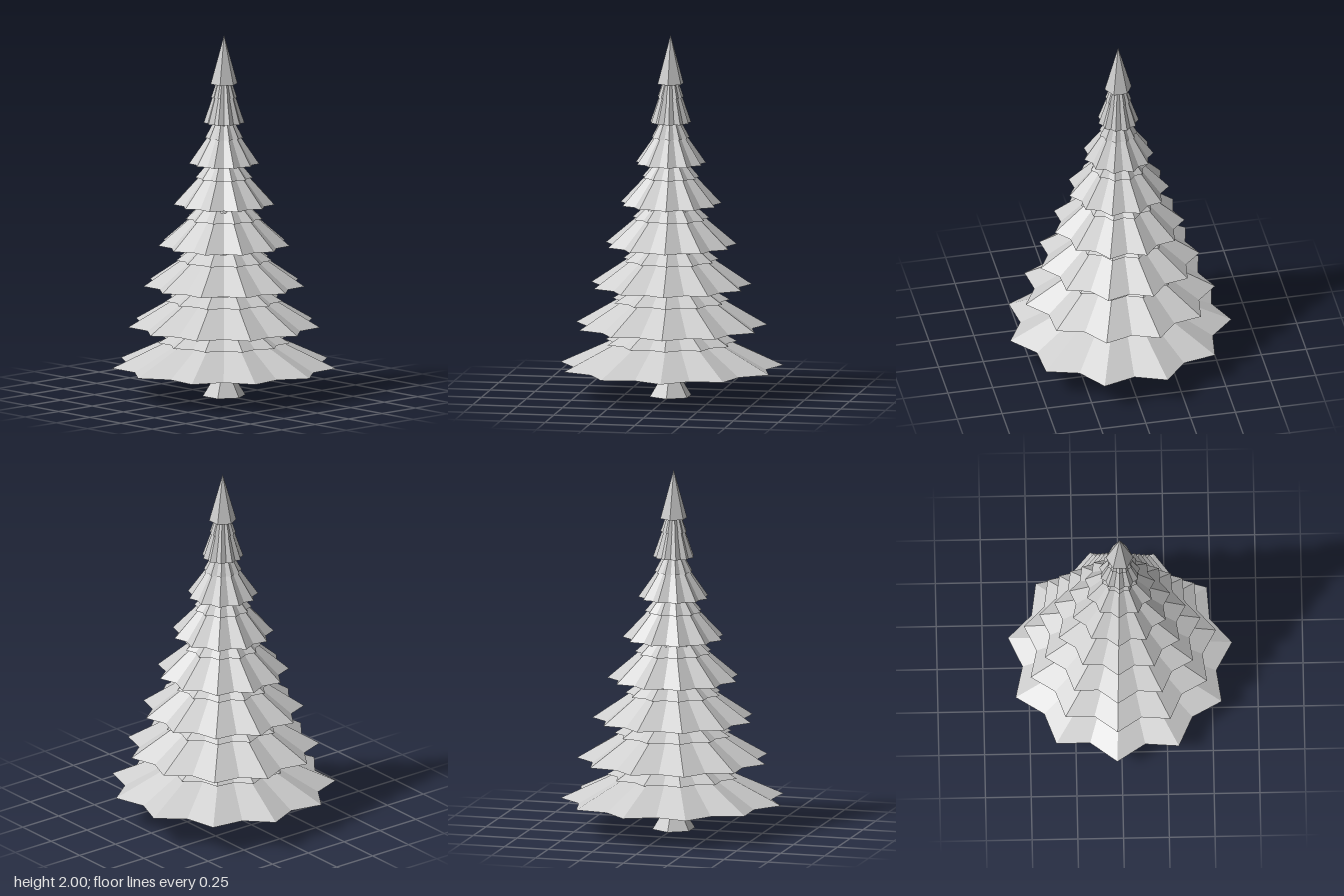
import * as THREE from 'three';

const POINTS = 11;      // branch tips per tier
const NOTCH = 0.865;    // notch radius relative to tip radius
const TWIST = 0.103;    // shared rotation of the branch tips

// faceted normals
function faceted(geometry) {
  const g = geometry.toNonIndexed();
  g.computeVertexNormals();
  return g;
}

// tapered solid between two heights
function frustum(rBottom, rTop, y0, y1, sides) {
  return new THREE.CylinderGeometry(rTop, rBottom, y1 - y0, sides, 1).translate(0, (y0 + y1) / 2, 0);
}

// tapered solid with a zigzag rim: every second vertex is pulled inwards
function starSkirt(rBottom, rTop, y0, y1) {
  const g = frustum(rBottom, rTop, y0, y1, POINTS * 2);
  const p = g.attributes.position;
  for (let i = 0; i < p.count; i++) {
    const x = p.getX(i), z = p.getZ(i);
    const step = Math.round(Math.atan2(x, z) / (Math.PI / POINTS));
    const k = Math.abs(step) % 2 === 1 ? NOTCH : 1;
    p.setXYZ(i, x * k, p.getY(i), z * k);
  }
  return g.rotateY(TWIST);
}

export function createModel() {
  const group = new THREE.Group();
  group.name = 'firTree';
  const grey = new THREE.MeshStandardMaterial({ color: 0xcccccc });
  grey.name = 'lightGrey';

  const tree = new THREE.Group();
  tree.name = 'tree';
  tree.position.set(0.004, 0, -0.002);
  group.add(tree);

  const add = (name, geometry, parent = tree) => {
    const mesh = new THREE.Mesh(faceted(geometry), grey);
    mesh.name = name;
    parent.add(mesh);
  };

  // trunk: flared foot and straight neck
  add('trunkFoot', frustum(0.12, 0.07, 0, 0.08, 6));
  add('trunkNeck', frustum(0.07, 0.07, 0.08, 0.16, 6));

  // tiers: rim height, rim radius, upper skirt height and radius, under skirt height and radius
  const tiers = [
    [0.165, 0.619, 0.30, 0.365, 0.135, 0.335],
    [0.39, 0.53, 0.53, 0.325, 0.36, 0.29],
    [0.615, 0.445, 0.755, 0.265, 0.585, 0.24],
    [0.838, 0.363, 0.985, 0.212, 0.81, 0.19],
    [1.065, 0.279, 1.212, 0.158, 1.035, 0.145],
    [1.29, 0.194, 1.432, 0.105, 1.275, 0.095],
    [1.515, 0.113, 1.655, 0.072, 1.503, 0.06],
  ];
  tiers.forEach(([y, r, yMid, rMid, yLow, rLow], i) => {
    const tier = new THREE.Group();
    tier.name = 'branchTier' + (i + 1);
    tree.add(tier);
    const yTop = i < tiers.length - 1 ? tiers[i + 1][0] + 0.01 : 1.735;
    const slope = (r - rMid * 0.9) / (yMid - y);
    const rTop = Math.max(r - slope * (yTop - y), 0.03);
    add('branches', starSkirt(r, rTop, y, yTop), tier);
    add('upperBranches', starSkirt(rMid, Math.max(rMid * 0.52, 0.045), yMid, yTop), tier);
    add('underBranches', frustum(rLow, rLow * 0.85, yLow, y + 0.01, 8), tier);
  });

  // pointed top
  add('treeTop', new THREE.ConeGeometry(0.075, 0.27, 6).translate(0, 1.865, 0));

  return group;
}
